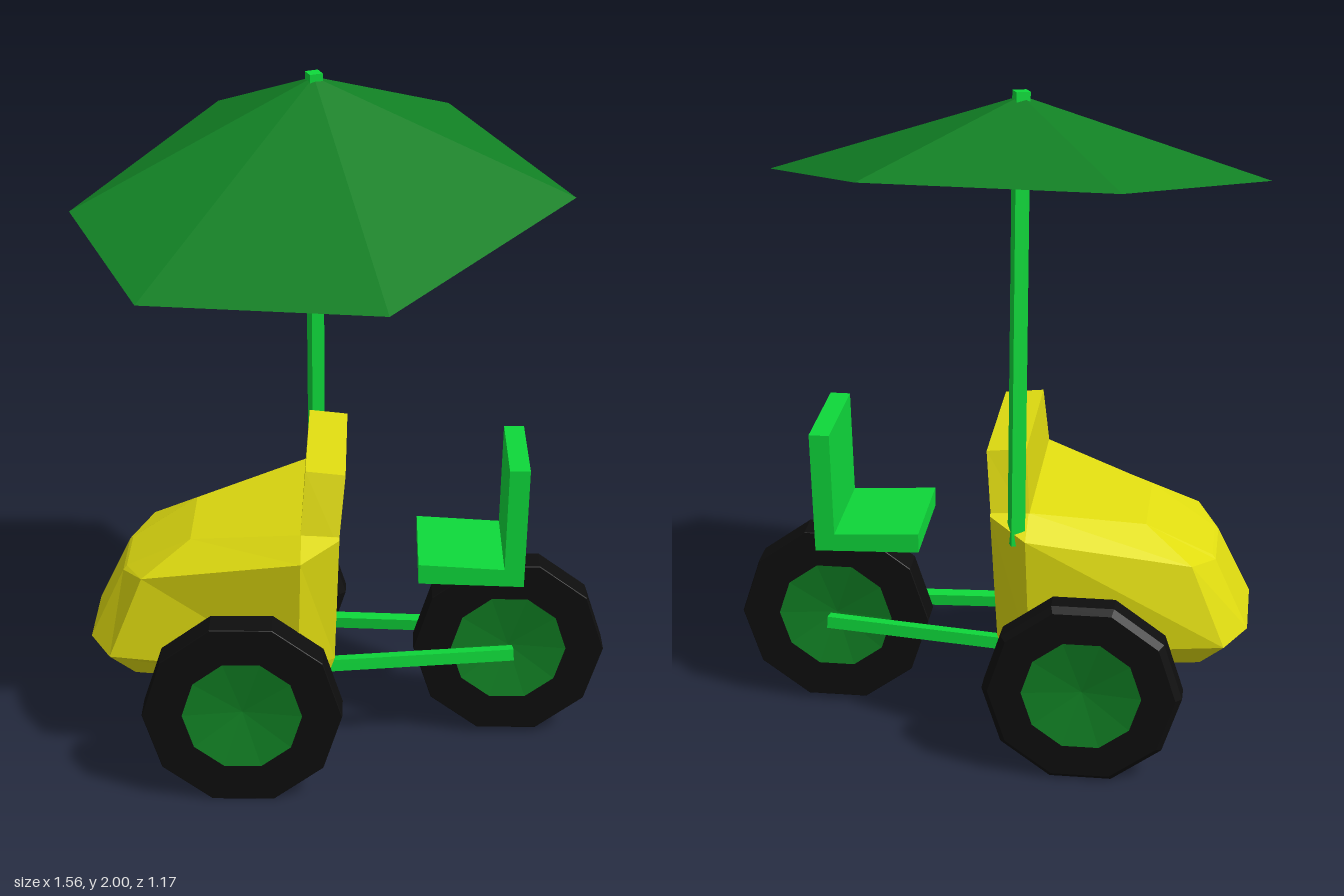
import * as THREE from 'three';

const mat = (color, side = THREE.FrontSide) =>
  new THREE.MeshStandardMaterial({ color, flatShading: true, side });
const YELLOW = mat(0xe0dc10);
const GREEN = mat(0x0ed83a);
const DARK_GREEN = mat(0x118024, THREE.DoubleSide);
const BLACK = mat(0x0e0e0e);

function mesh(name, geometry, material) {
  const m = new THREE.Mesh(geometry, material);
  m.name = name;
  return m;
}

// Skins half cross-sections (+z side, bottom to top, front to back), mirrored in z.
function loft(sections) {
  const rings = sections.map(half =>
    [...half, ...half.map(([x, y, z]) => [x, y, -z]).reverse()]);
  const n = rings[0].length;
  const index = [];
  for (let i = 0; i < rings.length - 1; i++) {
    for (let j = 0; j < n; j++) {
      const k = (j + 1) % n;
      const a = i * n + j, b = i * n + k, c = a + n, d = b + n;
      index.push(a, c, b, b, c, d);
    }
  }
  // End caps as strips between the two halves
  const last = (rings.length - 1) * n;
  for (let j = 0; j < n / 2 - 1; j++) {
    const [a, b, c, d] = [j, j + 1, n - 2 - j, n - 1 - j];
    index.push(a, b, c, a, c, d);
    index.push(last + a, last + c, last + b, last + a, last + d, last + c);
  }
  const g = new THREE.BufferGeometry();
  g.setAttribute('position', new THREE.Float32BufferAttribute(rings.flat(2), 3));
  g.setIndex(index);
  g.computeVertexNormals();
  return g;
}

// Square bar between two points, optionally twisted about its length.
function bar(name, from, to, size, twist = 0) {
  const a = new THREE.Vector3(...from), b = new THREE.Vector3(...to);
  const dir = b.clone().sub(a);
  const g = new THREE.BoxGeometry(size, dir.length(), size).rotateY(twist);
  const m = mesh(name, g, GREEN);
  m.position.copy(a).add(b).multiplyScalar(0.5);
  m.quaternion.setFromUnitVectors(new THREE.Vector3(0, 1, 0), dir.normalize());
  return m;
}

// Ten-sided tyre with a shallow dished hub on both faces.
function wheel(name, x, y, z, radius, bevel) {
  const w = 0.048, hubR = 0.174;
  const spin = pts => new THREE.LatheGeometry(
    pts.map(p => new THREE.Vector2(...p)), 10, Math.PI / 2).rotateX(Math.PI / 2);
  const group = new THREE.Group();
  group.name = name;
  group.add(
    mesh('tyre', spin([
      [hubR, -w], [radius - bevel, -w], [radius, -w + bevel],
      [radius, w - bevel], [radius - bevel, w], [hubR, w],
    ]), BLACK),
    mesh('hub', spin([[0, -0.022], [hubR, -w], [hubR, w], [0, 0.022]]), DARK_GREEN));
  group.position.set(x, y, z);
  return group;
}

export function createModel() {
  const model = new THREE.Group();
  model.name = 'tricycleTractor';

  // Faceted hood, nose towards -x
  model.add(mesh('hood', loft([
    [[-0.68, 0.29, 0.12], [-0.765, 0.37, 0.13], [-0.665, 0.58, 0.11], [-0.655, 0.59, 0.1]],
    [[-0.63, 0.285, 0.2], [-0.7, 0.36, 0.245], [-0.6, 0.61, 0.235], [-0.46, 0.7, 0.15]],
    [[-0.16, 0.28, 0.26], [-0.14, 0.36, 0.345], [-0.13, 0.725, 0.375], [-0.13, 0.775, 0.28]],
    [[-0.06, 0.285, 0.24], [-0.035, 0.36, 0.245], [-0.02, 0.765, 0.295], [-0.02, 0.77, 0.285]],
  ]), YELLOW));

  // Upright dashboard
  model.add(mesh('dashboard', loft([
    [[-0.135, 0.74, 0.29], [-0.118, 0.955, 0.235]],
    [[-0.023, 0.74, 0.29], [-0.003, 0.943, 0.235]],
  ]), YELLOW));

  // Wheels
  model.add(
    wheel('frontWheelLeft', -0.3, 0.277, 0.4, 0.29, 0.002),
    wheel('frontWheelRight', -0.3, 0.277, -0.388, 0.29, 0.018),
    wheel('rearWheel', 0.488, 0.293, 0.003, 0.288, 0.002));

  // Axle and converging frame bars
  model.add(bar('frontAxle', [-0.3, 0.282, -0.4], [-0.3, 0.282, 0.4], 0.036));
  for (const s of [1, -1]) {
    model.add(bar('frameBar', [-0.3, 0.282, 0.17 * s], [0.5, 0.298, 0.09 * s], 0.036));
  }

  // L-shaped seat
  const profile = new THREE.Shape([
    [0.21, 0.575], [0.52, 0.565], [0.53, 0.935], [0.47, 0.935], [0.462, 0.62], [0.21, 0.635],
  ].map(p => new THREE.Vector2(...p)));
  const seat = new THREE.ExtrudeGeometry(profile, { depth: 0.345, bevelEnabled: false });
  model.add(mesh('seat', seat.translate(0, 0, -0.162), GREEN));

  // Parasol: leaning pole and six-sided tilted canopy
  model.add(bar('parasolPole', [-0.1, 0.7, -0.33], [-0.1, 2, -0.24], 0.04, 0.4));
  const rim = [
    [-0.4, 1.825, -0.59], [-0.78, 1.68, 0.083], [-0.5625, 1.545, 0.4875],
    [0.117, 1.55, 0.583], [0.648, 1.695, -0.017], [0.3, 1.825, -0.57],
  ];
  const canopy = new THREE.BufferGeometry();
  canopy.setAttribute('position', new THREE.Float32BufferAttribute(
    [[-0.1, 1.987, -0.24], ...rim].flat(), 3));
  canopy.setIndex(rim.flatMap((_, i) => [0, i + 1, (i + 1) % rim.length + 1]));
  canopy.computeVertexNormals();
  model.add(mesh('parasolCanopy', canopy, DARK_GREEN));

  return model;
}
